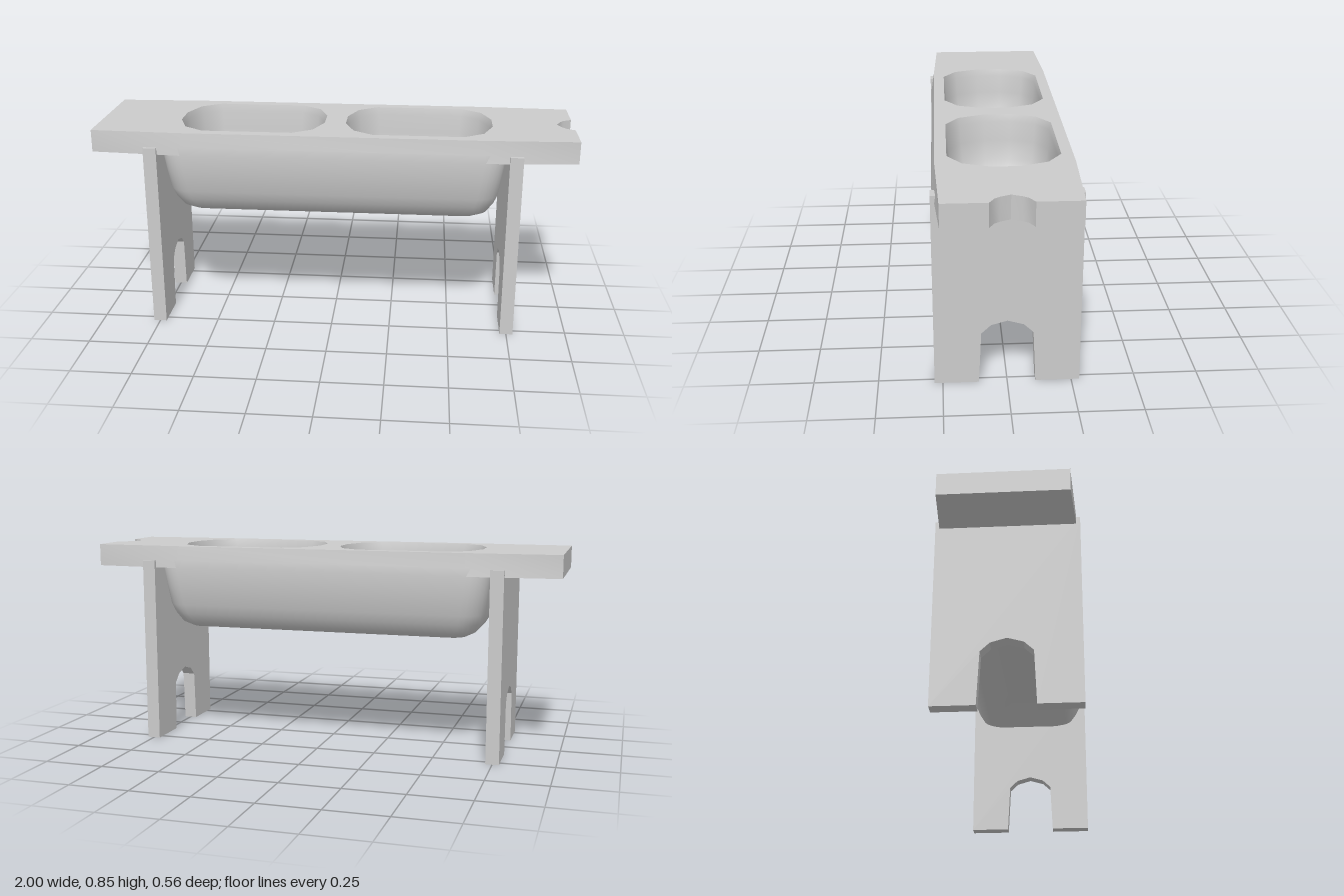
import * as THREE from 'three';
import { toCreasedNormals } from 'three/addons/utils/BufferGeometryUtils.js';

const material = new THREE.MeshStandardMaterial({ color: 0xcccccc });
const TOP = 0.85, UNDER = 0.757;

function addMesh(parent, name, geometry, crease) {
  const mesh = new THREE.Mesh(toCreasedNormals(geometry, crease), material);
  mesh.name = name;
  parent.add(mesh);
  return mesh;
}

// Skin a stack of descending rings and close the lowest one; inward flips the faces
function loft(rings, inward) {
  const n = rings[0].length, index = [];
  const positions = rings.flat(2);
  const tri = (a, b, c) => index.push(...(inward ? [a, c, b] : [a, b, c]));
  for (let i = 0; i < rings.length - 1; i++) {
    for (let j = 0; j < n; j++) {
      const k = (j + 1) % n, a = i * n + j, b = i * n + k;
      tri(a, b, a + n);
      tri(b, b + n, a + n);
    }
  }
  const last = rings[rings.length - 1], base = (rings.length - 1) * n;
  const mid = [0, 1, 2].map((c) => last.reduce((s, p) => s + p[c], 0) / n);
  positions.push(...mid);
  for (let j = 0; j < n; j++) tri(base + j, base + (j + 1) % n, rings.length * n);
  const geometry = new THREE.BufferGeometry();
  geometry.setAttribute('position', new THREE.Float32BufferAttribute(positions, 3));
  geometry.setIndex(index);
  return geometry;
}

// Rounded rectangle in the ground plane at height y
function roundedRing(hx, hz, r, y, steps = 6) {
  const ring = [];
  [[1, 1], [-1, 1], [-1, -1], [1, -1]].forEach(([sx, sz], q) => {
    for (let i = 0; i <= steps; i++) {
      const t = (q + i / steps) * Math.PI / 2;
      ring.push([sx * (hx - r) + r * Math.cos(t), y, sz * (hz - r) + r * Math.sin(t)]);
    }
  });
  return ring;
}

// Rim of one bowl, relative to its centre
const quarter = [[0.308, 0.055], [0.268, 0.162], [0.187, 0.218]];
const rim = [
  ...quarter,
  ...quarter.map(([x, z]) => [-x, z]).reverse(),
  ...quarter.map(([x, z]) => [-x, -z]),
  ...quarter.map(([x, z]) => [x, -z]).reverse(),
];
const bowlCentres = [-0.353, 0.353];

function boardGeometry() {
  const outline = [
    [-1, -0.25], [-0.62, -0.264], [0.62, -0.264], [1, -0.25],
    // notch in the left end
    [1, -0.08], [0.965, -0.06], [0.95, -0.04], [0.932, 0], [0.95, 0.04], [0.965, 0.06], [1, 0.08],
    [1, 0.25], [0.62, 0.264], [-0.62, 0.264], [-1, 0.25],
  ].map(([x, y]) => new THREE.Vector2(x, y));
  const shape = new THREE.Shape(outline);
  for (const cx of bowlCentres) {
    shape.holes.push(new THREE.Path(rim.map(([x, z]) => new THREE.Vector2(cx + x, z))));
  }
  const geometry = new THREE.ExtrudeGeometry(shape, { depth: TOP - UNDER, bevelEnabled: false });
  geometry.rotateX(-Math.PI / 2).translate(0, UNDER, 0);
  // flare the lower edge along the middle
  const p = geometry.attributes.position;
  for (let i = 0; i < p.count; i++) {
    if (p.getY(i) < 0.8 && Math.abs(p.getZ(i)) > 0.255) p.setZ(i, p.getZ(i) * 1.053);
  }
  return geometry;
}

function legGeometry() {
  const half = [[0.282, 0.787], [0.282, 0], [0.11, 0], [0.1, 0.215], [0.063, 0.25]];
  const points = [...half, [0, 0.268], ...half.map(([z, y]) => [-z, y]).reverse()];
  const shape = new THREE.Shape(points.map(([z, y]) => new THREE.Vector2(z, y)));
  const geometry = new THREE.ExtrudeGeometry(shape, { depth: 0.055, bevelEnabled: false });
  return geometry.translate(0, 0, -0.0275).rotateY(Math.PI / 2);
}

export function createModel() {
  const model = new THREE.Group();
  model.name = 'feedingBench';

  addMesh(model, 'board', boardGeometry(), 0.6);

  // Trough body under the board: half length, half width, corner radius, height
  const body = [
    [0.713, 0.274, 0.09, 0.79], [0.713, 0.278, 0.09, UNDER], [0.703, 0.27, 0.09, 0.68],
    [0.69, 0.257, 0.09, 0.595], [0.675, 0.24, 0.085, 0.555], [0.65, 0.218, 0.08, 0.515],
    [0.61, 0.185, 0.06, 0.495],
  ];
  addMesh(model, 'troughBody', loft(body.map((s) => roundedRing(...s)), false), 0.7);

  // Bowl linings: scale of the rim at each depth
  const depths = [[1, TOP], [0.97, 0.82], [0.95, 0.74], [0.9, 0.66], [0.8, 0.595], [0.64, 0.555], [0.35, 0.535]];
  bowlCentres.forEach((cx, i) => {
    const rings = depths.map(([s, y]) => rim.map(([x, z]) => [cx + x * s, y, z * s]));
    addMesh(model, i ? 'leftBowl' : 'rightBowl', loft(rings, true), 0.9);
  });

  // Slab legs with an arched cut-out
  for (const side of [-1, 1]) {
    addMesh(model, side > 0 ? 'leftLeg' : 'rightLeg', legGeometry(), 0.3).position.x = side * 0.75;
  }
  return model;
}
